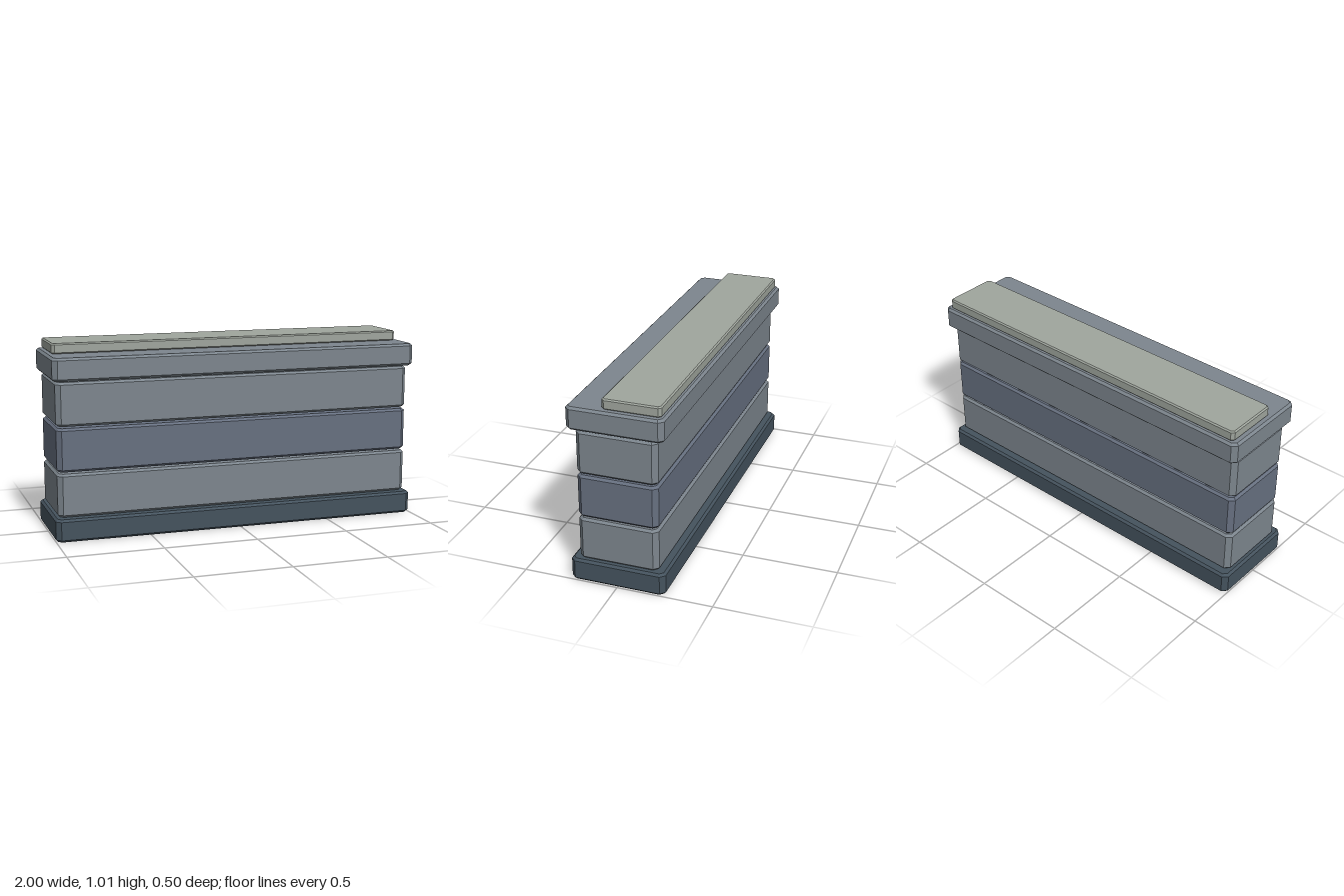
import * as THREE from 'three';

// Block with cut vertical corners and chamfered top and bottom edges.
function chamferedBlock(width, height, depth, corner, bevel) {
  const x = width / 2 - bevel;
  const z = depth / 2 - bevel;
  const c = corner - bevel * (2 - Math.SQRT2);
  const outline = new THREE.Shape([
    [x, -z + c], [x, z - c], [x - c, z], [-x + c, z],
    [-x, z - c], [-x, -z + c], [-x + c, -z], [x - c, -z],
  ].map(([a, b]) => new THREE.Vector2(a, b)));
  const geometry = new THREE.ExtrudeGeometry(outline, {
    depth: height - 2 * bevel,
    bevelEnabled: true,
    bevelThickness: bevel,
    bevelSize: bevel,
    bevelSegments: 1,
  });
  geometry.translate(0, 0, bevel);
  geometry.rotateX(-Math.PI / 2);
  return geometry;
}

export function createModel() {
  const group = new THREE.Group();
  group.name = 'counter';

  const paint = (color) => new THREE.MeshStandardMaterial({ color, flatShading: true });
  const dark = paint(0x45535e);
  const grey = paint(0x7d868e);
  const blue = paint(0x677080);
  const pale = paint(0xa0a69e);

  function addBlock(name, material, width, depth, bottom, top, z = 0, corner = 0.025, bevel = 0.012) {
    const mesh = new THREE.Mesh(chamferedBlock(width, top - bottom, depth, corner, bevel), material);
    mesh.name = name;
    mesh.position.set(0, bottom, z);
    group.add(mesh);
  }

  // Plinth
  addBlock('base', dark, 2, 0.5, 0, 0.12);

  // Three stacked body courses separated by narrow gaps
  const courses = [['lowerCourse', grey], ['middleCourse', blue], ['upperCourse', grey]];
  courses.forEach(([name, material], i) => {
    const bottom = 0.121 + i * 0.237;
    addBlock(name, material, 1.96, 0.42, bottom, bottom + 0.228);
  });

  // Overhanging cap and the thin slab set towards the back
  addBlock('cap', grey, 2, 0.5, 0.832, 0.952);
  addBlock('topSlab', pale, 1.94, 0.302, 0.951, 1.006, -0.08, 0.015, 0.007);

  return group;
}
